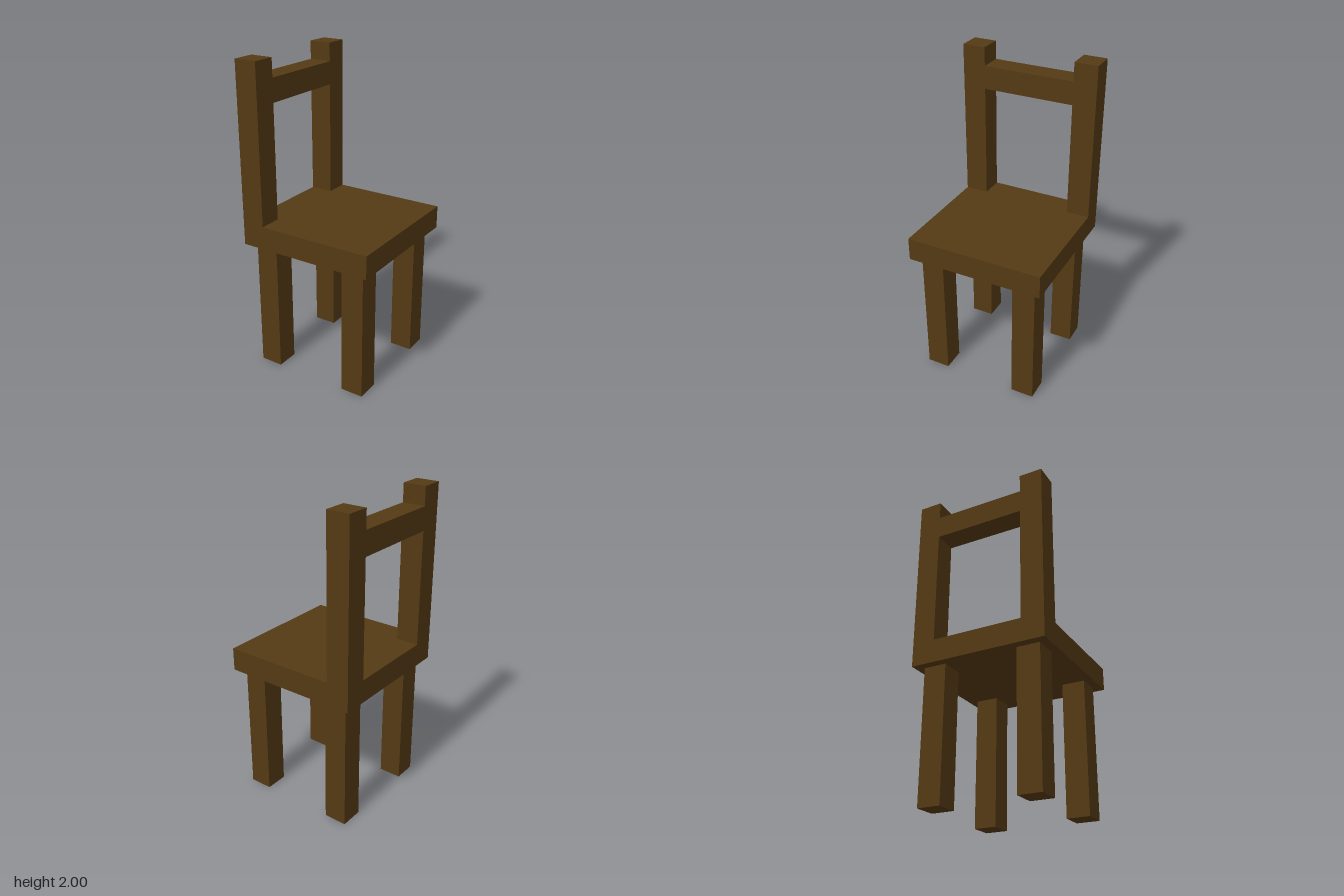
import * as THREE from 'three';

export function createModel() {
  const chair = new THREE.Group();
  chair.name = 'chair';
  const wood = new THREE.MeshStandardMaterial({ color: 0x553a14 });

  // Box given by its size and the centre of its underside
  function addBox(name, [w, h, d], [x, y, z]) {
    const mesh = new THREE.Mesh(new THREE.BoxGeometry(w, h, d), wood);
    mesh.name = name;
    mesh.position.set(x, y + h / 2, z);
    chair.add(mesh);
  }

  const beam = 0.148;        // thickness of every beam
  const seatWidth = 0.884;
  const seatBottom = 0.85;
  const seatTop = 0.998;
  const legOffset = 0.313;
  const postOffset = (seatWidth - beam) / 2;

  addBox('seat', [seatWidth, seatTop - seatBottom, seatWidth], [0, seatBottom, 0]);

  for (const side of [-1, 1]) {
    const sideName = side > 0 ? 'Front' : 'Rear';
    // Legs, set in from the seat edge
    addBox('leftLeg' + sideName, [beam, seatBottom, beam], [legOffset, 0, side * legOffset]);
    addBox('rightLeg' + sideName, [beam, seatBottom, beam], [-legOffset, 0, side * legOffset]);
    // Backrest posts, flush with the seat corners
    addBox('backPost' + sideName, [beam, 2 - seatTop, beam], [-postOffset, seatTop, side * postOffset]);
  }

  // Rail between the backrest posts
  addBox('backRail', [beam, beam, seatWidth - 2 * beam], [-postOffset, 1.735, 0]);

  return chair;
}
